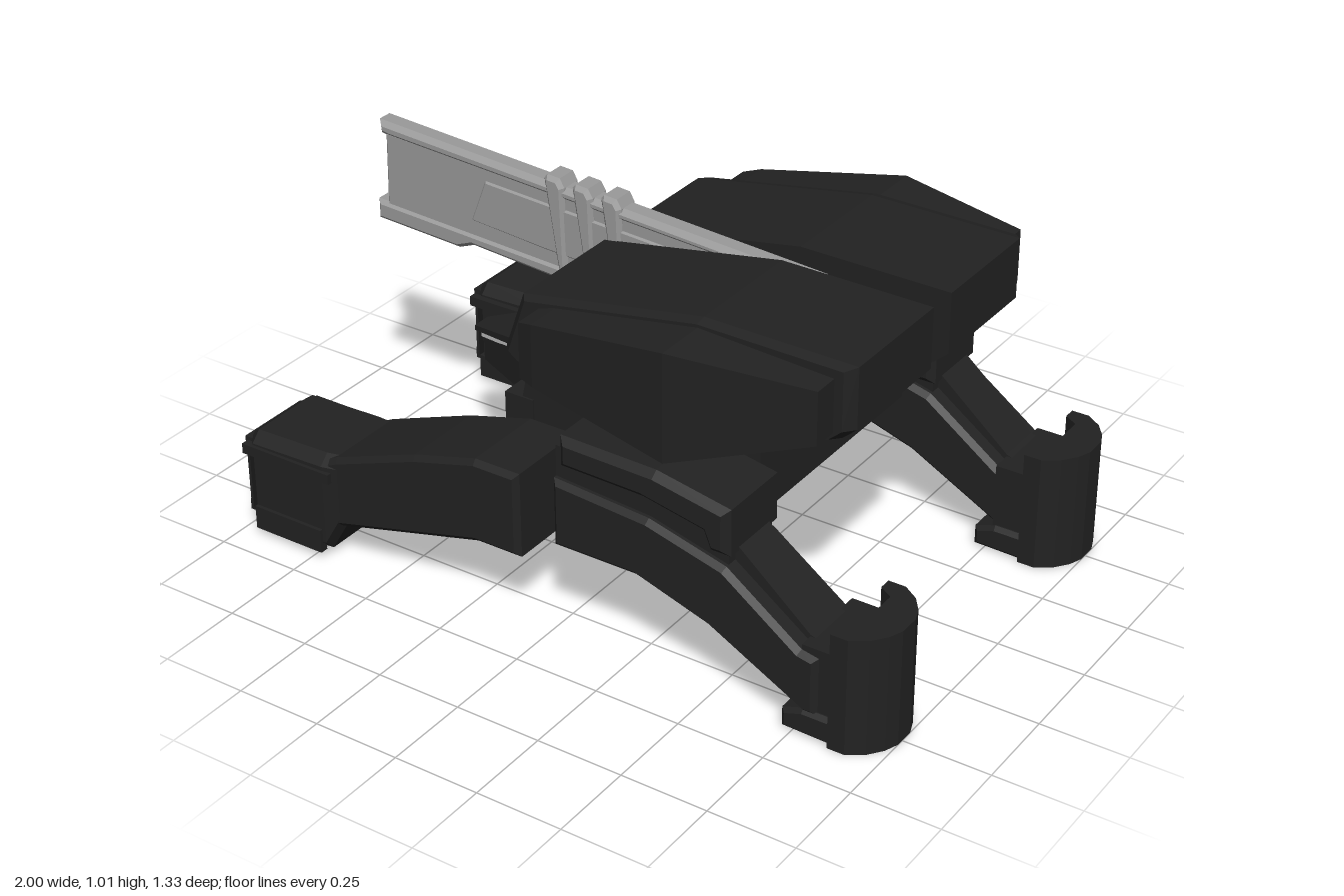
import * as THREE from 'three';

const mat = (color) => new THREE.MeshStandardMaterial({ color, flatShading: true });
const dark = mat(0x222222);
const steel = mat(0x999999);
const pale = mat(0xcccccc);

function add(parent, name, geometry, material = dark) {
  const mesh = new THREE.Mesh(geometry, material);
  mesh.name = name;
  parent.add(mesh);
  return mesh;
}

// Side profile in x/y, extruded from z0 to z1 with chamfered rims
function slab(pts, z0, z1, b = 0) {
  const shape = new THREE.Shape(pts.map(([x, y]) => new THREE.Vector2(x, y)));
  const g = new THREE.ExtrudeGeometry(shape, {
    depth: z1 - z0 - 2 * b, bevelEnabled: b > 0, bevelThickness: b,
    bevelSize: b, bevelOffset: -b, bevelSegments: 1,
  });
  return g.translate(0, 0, z0 + b);
}

// Plan outline in x/z, extruded from y0 to y1
function plate(pts, y0, y1, b = 0) {
  return slab(pts.map(([x, z]) => [x, -z]), y0, y1, b).rotateX(-Math.PI / 2);
}

const box = (x0, x1, y0, y1, z0, z1) =>
  new THREE.BoxGeometry(x1 - x0, y1 - y0, z1 - z0)
    .translate((x0 + x1) / 2, (y0 + y1) / 2, (z0 + z1) / 2);

// Skin over convex rings of equal length, with both ends capped
function loft(rings) {
  const tris = [];
  const n = rings[0].length;
  for (let r = 0; r < rings.length - 1; r++) {
    for (let i = 0; i < n; i++) {
      const j = (i + 1) % n, a = rings[r], b = rings[r + 1];
      tris.push([a[i], a[j], b[j]], [a[i], b[j], b[i]]);
    }
  }
  const first = rings[0], last = rings[rings.length - 1];
  for (let i = 1; i < n - 1; i++) {
    tris.push([first[0], first[i + 1], first[i]], [last[0], last[i], last[i + 1]]);
  }
  // Turn the skin outward whatever the ring direction
  const v = (p) => new THREE.Vector3(...p);
  const volume = tris.reduce((s, [a, b, c]) => s + v(a).dot(v(b).cross(v(c))), 0);
  if (volume < 0) tris.forEach((t) => t.reverse());
  const g = new THREE.BufferGeometry();
  g.setAttribute('position', new THREE.Float32BufferAttribute(tris.flat(2), 3));
  g.computeVertexNormals();
  return g;
}

// Rectangular ring across x
const rect = (x, y0, y1, z0, z1) => [[x, y0, z0], [x, y1, z0], [x, y1, z1], [x, y0, z1]];

function frontLeg() {
  const g = new THREE.Group();
  g.name = 'frontLeg';
  add(g, 'frontLimb', slab([[-0.06, 0.23], [-0.06, 0.48], [-0.2, 0.48], [-0.4, 0.425],
    [-0.67, 0.325], [-0.72, 0.3], [-0.72, 0.11], [-0.67, 0.11], [-0.2, 0.23]], 0.38, 0.65, 0.015));
  // Foot narrows slightly at its toe
  const ring = (x, y0, y1, w) => {
    const c = 0.03;
    return [[x, y0 + c, -w], [x, y1 - c, -w], [x, y1, -w + c], [x, y1, w - c],
      [x, y1 - c, w], [x, y0 + c, w], [x, y0, w - c], [x, y0, -w + c]]
      .map(([a, y, z]) => [a, y, z + 0.515]);
  };
  add(g, 'frontFoot', loft([ring(-0.66, 0.11, 0.325, 0.135), ring(-0.71, 0.02, 0.322, 0.142),
    ring(-0.95, 0.005, 0.315, 0.142), ring(-0.985, 0.03, 0.29, 0.12)]));
  // Toe frame around two sunken windows
  for (const y of [0.045, 0.245]) add(g, 'toeBar', box(-1, -0.96, y, y + 0.035, 0.4, 0.63));
  for (const z of [0.4, 0.5, 0.6]) add(g, 'toePost', box(-0.998, -0.96, 0.06, 0.26, z, z + 0.03));
  // Side rails
  for (const z of [0.365, 0.655]) {
    add(g, 'upperRail', box(-0.98, -0.68, 0.25, 0.28, z - 0.012, z + 0.012));
    add(g, 'lowerRail', box(-0.95, -0.72, 0.02, 0.09, z - 0.012, z + 0.012));
  }
  return g;
}

function rearLeg() {
  const g = new THREE.Group();
  g.name = 'rearLeg';
  add(g, 'rearLimb', slab([[0.03, 0.29], [0.28, 0.29], [0.5, 0.22], [0.78, 0.07], [0.82, 0.07],
    [0.82, 0.24], [0.77, 0.25], [0.55, 0.41], [0.32, 0.47], [0.03, 0.49]], 0.385, 0.635, 0.015));
  add(g, 'hipCore', slab([[0.03, 0.45], [0.3, 0.43], [0.55, 0.38], [0.55, 0.56], [0.3, 0.58],
    [0.03, 0.58]], 0.41, 0.61));
  add(g, 'hipCover', slab([[0.05, 0.53], [0.3, 0.525], [0.48, 0.49], [0.5, 0.44], [0.56, 0.44],
    [0.56, 0.575], [0.34, 0.615], [0.05, 0.62]], 0.385, 0.635, 0.02));
  add(g, 'shinRidge', slab([[0.52, 0.4], [0.8, 0.2], [0.8, 0.26], [0.77, 0.27], [0.56, 0.45]],
    0.44, 0.58));
  // Rounded heel shield, hollow on the inner side
  const half = [[1, 0.03], [0.985, 0.07], [0.955, 0.11], [0.91, 0.14], [0.86, 0.14], [0.86, 0.105],
    [0.9, 0.08]];
  const plan = [...half, ...half.map(([x, z]) => [x, -z]).reverse()].map(([x, z]) => [x, z + 0.5]);
  add(g, 'heelShield', plate(plan, 0, 0.34));
  add(g, 'ankle', box(0.77, 0.91, 0.04, 0.265, 0.38, 0.62));
  add(g, 'rearToe', slab([[0.72, 0.005], [0.72, 0.06], [0.78, 0.08], [0.92, 0.08], [0.92, 0]],
    0.365, 0.635, 0.012));
  return g;
}

function pod() {
  const g = new THREE.Group();
  g.name = 'pod';
  const profile = [[-0.26, 0.69], [-0.2, 0.86], [0.35, 0.957], [0.79, 0.953], [0.79, 0.78],
    [0.75, 0.745], [0.38, 0.603], [-0.23, 0.668]];
  const ring = (z, s) => profile.map(([x, y]) => [0.28 + (x - 0.28) * s, 0.78 + (y - 0.78) * s, z]);
  add(g, 'podShell', loft([ring(0.045, 1), ring(0.405, 1), ring(0.435, 0.95)]));
  // Outer armour swells to a ridge at mid length
  add(g, 'sideArmour', loft([
    rect(-0.13, 0.69, 0.85, 0.38, 0.525), rect(-0.08, 0.685, 0.865, 0.38, 0.54),
    rect(0.35, 0.63, 0.94, 0.38, 0.59), rect(0.74, 0.77, 0.92, 0.38, 0.51)]));
  return g;
}

function body() {
  const g = new THREE.Group();
  g.name = 'body';
  g.position.z = 0.02;
  // Cross-section in z/y stretched along x between sloping ends
  const hull = (pts, y0, y1, back, front) => {
    const geo = slab(pts, 0, 1).rotateY(Math.PI / 2);
    const p = geo.attributes.position;
    for (let i = 0; i < p.count; i++) {
      const t = (p.getY(i) - y0) / (y1 - y0);
      const a = THREE.MathUtils.lerp(...back, t), b = THREE.MathUtils.lerp(...front, t);
      p.setX(i, a + (b - a) * p.getX(i));
    }
    geo.computeVertexNormals();
    return geo;
  };
  add(g, 'upperHull', hull([[-0.36, 0.42], [0.36, 0.42], [0.36, 0.605], [-0.36, 0.605]],
    0.42, 0.605, [-0.26, -0.22], [0.5, 0.5]));
  add(g, 'lowerHull', hull([[-0.36, 0.23], [-0.195, 0.23], [-0.135, 0.32], [-0.065, 0.23],
    [0.065, 0.23], [0.135, 0.32], [0.195, 0.23], [0.36, 0.23], [0.36, 0.42], [-0.36, 0.42]],
  0.23, 0.42, [-0.2, -0.26], [0.33, 0.5]));
  for (const s of [-1, 1]) {
    add(g, 'chestBlock', box(-0.29, -0.2, 0.38, 0.53, s * 0.28 - 0.085, s * 0.28 + 0.085));
  }
  // Pointed head: shell, pale slit and jaw
  const wedge = (tip, mid, w) => loft([rect(tip[0], tip[1], tip[2], -0.03 * w, 0.03 * w),
    rect(-0.35, mid[0], mid[1], -0.16 * w, 0.16 * w), rect(-0.22, mid[0], mid[1], -0.14 * w, 0.14 * w)]);
  const head = new THREE.Group();
  head.name = 'head';
  head.position.z = -0.01;
  g.add(head);
  add(head, 'headShell', wedge([-0.655, 0.445, 0.46], [0.52, 0.545], 1));
  add(head, 'headSlit', wedge([-0.635, 0.43, 0.447], [0.5, 0.522], 0.92), pale);
  add(head, 'headJaw', wedge([-0.625, 0.36, 0.432], [0.36, 0.505], 0.96));
  return g;
}

function cannon() {
  const g = new THREE.Group();
  g.name = 'cannon';
  g.position.z = 0.01;
  add(g, 'barrelWeb', slab([[-0.945, 0.98], [-0.95, 0.74], [-0.2, 0.69], [0.45, 0.67],
    [0.45, 0.91]], -0.028, 0.028, 0.008), steel);
  add(g, 'topRail', slab([[-0.965, 1.01], [-0.96, 0.97], [-0.93, 0.965], [0.45, 0.885],
    [0.45, 0.92]], -0.036, 0.036, 0.015), steel);
  add(g, 'bottomRail', slab([[-0.98, 0.765], [-0.98, 0.705], [-0.7, 0.69], [-0.65, 0.71],
    [-0.1, 0.67], [0.45, 0.66], [0.45, 0.68], [-0.1, 0.72]], -0.036, 0.036, 0.012), steel);
  add(g, 'sidePanel', slab([[-0.6, 0.92], [-0.65, 0.79], [-0.4, 0.77], [0.3, 0.74], [0.3, 0.87]],
    -0.034, 0.034, 0.005), steel);
  // Clamp bands
  for (let i = 0; i < 3; i++) {
    const x = -0.37 + i * 0.092, d = -i * 0.006;
    add(g, 'clampBand', slab([[x - 0.03, 0.985 + d], [x - 0.02, 0.998 + d], [x + 0.02, 0.995 + d],
      [x + 0.035, 0.97 + d], [x + 0.045, 0.69 + d], [x + 0.02, 0.685 + d], [x + 0.005, 0.76 + d]],
    -0.042, 0.042, 0.012), steel);
  }
  return g;
}

export function createModel() {
  const model = new THREE.Group();
  model.name = 'walker';
  model.add(body(), cannon());
  // Paired parts, mirrored across the long axis
  for (const side of [1, -1]) {
    for (const [make, z] of [[frontLeg, 0], [rearLeg, -0.01], [pod, 0.005]]) {
      const part = make();
      part.scale.z = side;
      part.position.z = z;
      model.add(part);
    }
  }
  return model;
}
